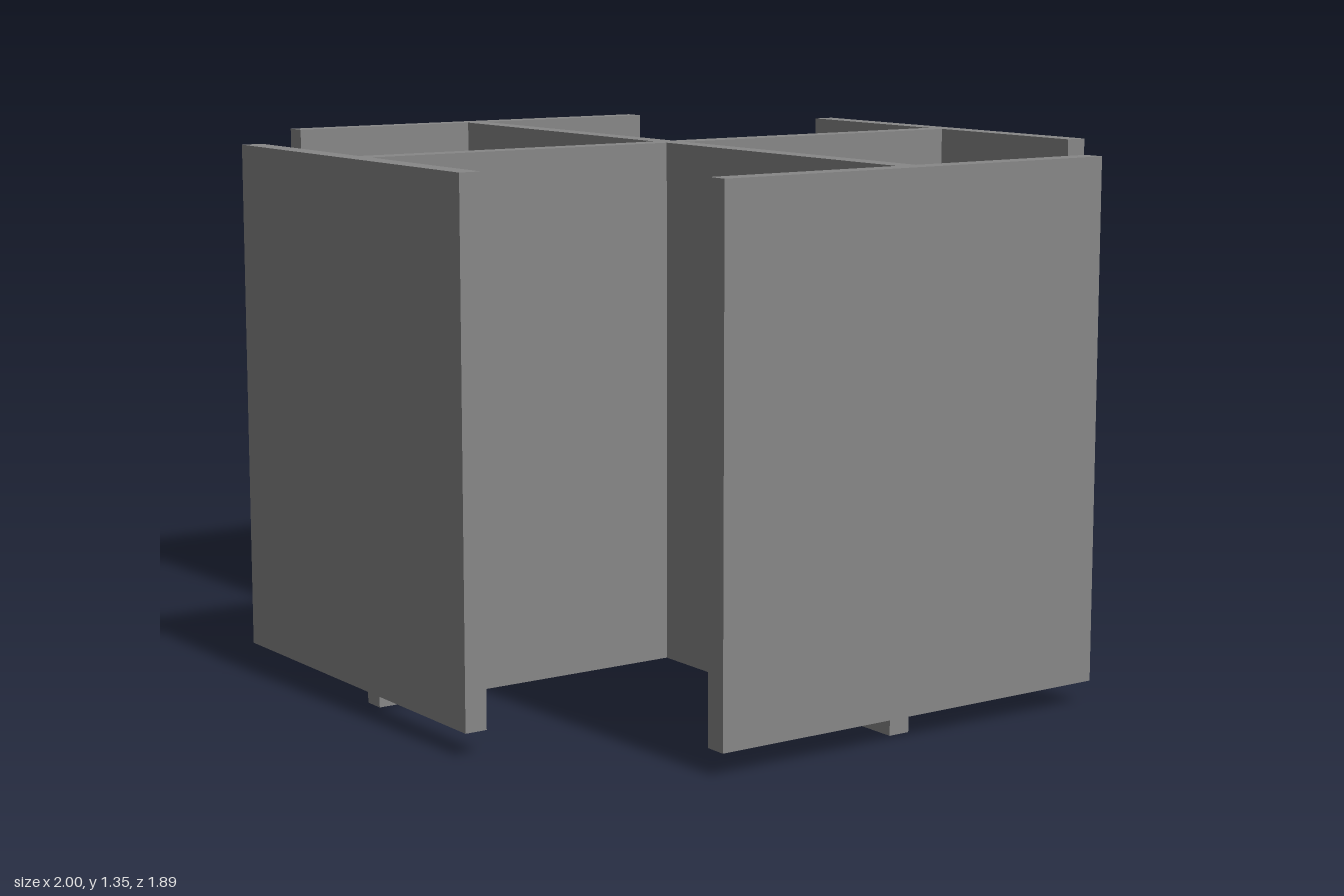
import * as THREE from 'three';

export function createModel() {
  const group = new THREE.Group();
  const material = new THREE.MeshStandardMaterial({ color: 0x878787, flatShading: true });

  const T = 0.057;            // board thickness
  const TOP = 1.345;          // overall height
  const LIFT = 0.058;         // end panels hang this far above the floor
  const HALF_X = 1, HALF_Z = 0.944;

  function board(name, w, d, x, z, bottom) {
    const h = TOP - bottom;
    const mesh = new THREE.Mesh(new THREE.BoxGeometry(w, h, d), material);
    mesh.name = name;
    mesh.position.set(x, bottom + h / 2, z);
    group.add(mesh);
  }

  // Crossing divider: one full-width wall and two half walls meeting it
  board('crossWall', 2 * (HALF_X - T), T, 0, 0, 0);
  const halfLength = HALF_Z - T - T / 2;
  for (const s of [1, -1]) {
    board(s > 0 ? 'frontWall' : 'backWall', T, halfLength, 0, s * (T / 2 + halfLength / 2), 0);

    // Wide panels capping the ends of the walls
    board(s > 0 ? 'frontPanel' : 'backPanel', 1.057, T, 0, s * (HALF_Z - T / 2), LIFT);
    board(s > 0 ? 'leftPanel' : 'rightPanel', T, 1.116, s * (HALF_X - T / 2), 0, LIFT);
  }

  return group;
}
